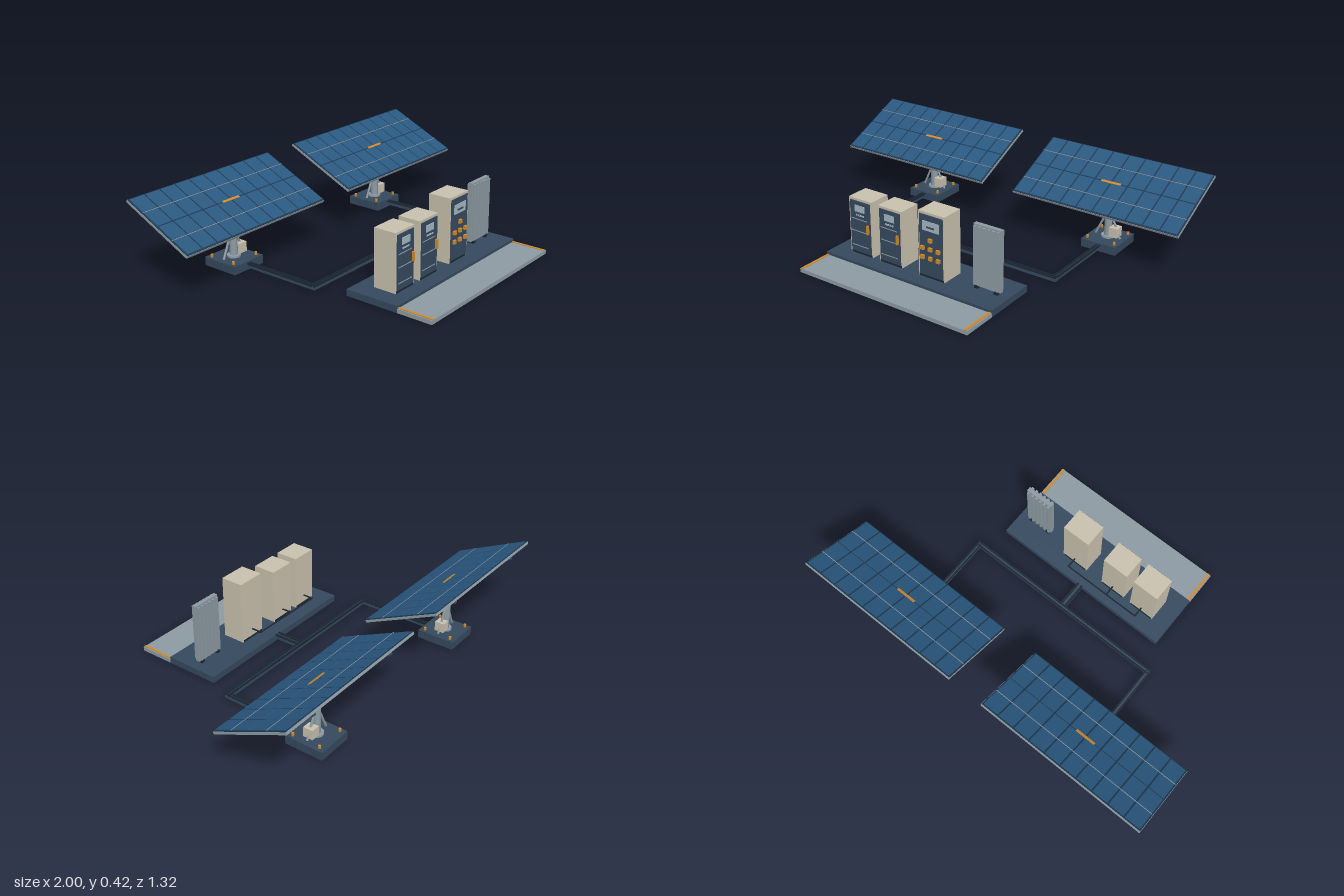
import * as THREE from 'three';

const mat = (name, color) => Object.assign(new THREE.MeshStandardMaterial({ color }), { name });

export function createModel() {
  const navy = mat('navy paint', 0x35495e);
  const dark = mat('dark rubber', 0x1b2733);
  const cream = mat('cream cabinet', 0xc9c1ae);
  const metal = mat('galvanised metal', 0x8d9aa3);
  const blue = mat('solar blue', 0x2a5880);
  const backing = mat('panel grid', 0x1d3850);
  const orange = mat('orange accent', 0xcf8a2e);
  const glass = mat('display glass', 0xa3b7c2);

  const model = new THREE.Group();
  model.name = 'solarPowerStation';

  const add = (parent, name, geo, material, x, y, z) => {
    const m = new THREE.Mesh(geo, material);
    m.name = name;
    m.position.set(x, y, z);
    parent.add(m);
    return m;
  };
  // box centred on x, y, z
  const box = (parent, name, material, w, h, d, x, y, z) =>
    add(parent, name, new THREE.BoxGeometry(w, h, d), material, x, y, z);
  const cyl = (parent, name, material, r, h, x, y, z, sides = 12) =>
    add(parent, name, new THREE.CylinderGeometry(r, r, h, sides), material, x, y, z);
  // round bar between two points
  const bar = (parent, name, material, r, a, b) => {
    const p = new THREE.Vector3(...a), q = new THREE.Vector3(...b);
    const mid = p.clone().add(q).multiplyScalar(0.5);
    const m = cyl(parent, name, material, r, p.distanceTo(q), mid.x, mid.y, mid.z, 8);
    m.quaternion.setFromUnitVectors(new THREE.Vector3(0, 1, 0), q.sub(p).normalize());
    return m;
  };
  const group = (parent, name, x = 0, y = 0, z = 0) => {
    const g = new THREE.Group();
    g.name = name;
    g.position.set(x, y, z);
    parent.add(g);
    return g;
  };

  // equipment platform and front apron
  const platform = group(model, 'platform');
  box(platform, 'platformSlab', navy, 0.98, 0.034, 0.285, 0, 0.017, 0.3375);
  box(platform, 'apron', metal, 0.98, 0.02, 0.185, 0, 0.01, 0.5725);
  for (const s of [-1, 1])
    box(platform, 'apronStripe', orange, 0.012, 0.004, 0.185, s * 0.478, 0.0215, 0.5725);

  // cabinet body with a dark door, origin at the centre of its footprint
  const makeCabinet = (name, x, w, h) => {
    const g = group(model, name, x, 0.034, 0.34);
    box(g, 'cabinetBody', cream, w, h, 0.12, 0, h / 2, 0);
    box(g, 'cabinetPlinth', dark, w * 0.92, 0.01, 0.125, 0, 0.005, 0);
    box(g, 'door', navy, w - 0.018, h - 0.024, 0.006, 0, h / 2, 0.062);
    return g;
  };
  for (const x of [-0.328, -0.146]) {
    const g = makeCabinet('inverterCabinet', x, 0.14, 0.291);
    box(g, 'display', glass, 0.06, 0.034, 0.004, 0, 0.242, 0.066);
    for (let i = 0; i < 4; i++)
      box(g, 'indicator', glass, 0.009, 0.008, 0.004, -0.02 + i * 0.0133, 0.208, 0.066);
    for (const y of [0.045, 0.122, 0.186])
      box(g, 'doorSeam', metal, 0.1, 0.004, 0.003, -0.005, y, 0.0655);
    box(g, 'handle', orange, 0.009, 0.046, 0.014, 0.05, 0.146, 0.07);
  }

  // control cabinet with push buttons
  const control = makeCabinet('controlCabinet', 0.098, 0.15, 0.331);
  box(control, 'display', glass, 0.094, 0.048, 0.004, 0, 0.266, 0.066);
  box(control, 'displayReadout', navy, 0.045, 0.008, 0.003, 0, 0.262, 0.069);
  const buttons = [[0, 0.198]];
  for (const y of [0.153, 0.106]) for (const x of [-0.045, 0, 0.045]) buttons.push([x, y]);
  for (const [x, y] of buttons)
    box(control, 'button', orange, 0.019, 0.019, 0.013, x, y, 0.07);

  // finned radiator
  const radiator = group(model, 'radiator', 0.37, 0.034, 0.337);
  box(radiator, 'radiatorCore', metal, 0.15, 0.31, 0.022, 0, 0.165, 0);
  for (let i = 0; i < 6; i++)
    box(radiator, 'fin', metal, 0.012, 0.295, 0.044, -0.0625 + i * 0.025, 0.165, 0);
  for (const s of [-1, 1]) box(radiator, 'radiatorFoot', dark, 0.02, 0.012, 0.04, s * 0.055, 0.006, 0);

  // cables behind the cabinets
  const cables = group(model, 'cables');
  bar(cables, 'cableBus', dark, 0.004, [-0.332, 0.08, 0.225], [0.102, 0.08, 0.225]);
  for (const x of [-0.328, -0.146, 0.098])
    bar(cables, 'cableBranch', dark, 0.004, [x, 0.08, 0.225], [x, 0.08, 0.285]);

  // cable trays on the ground: navy bed with dark rims
  const trays = group(model, 'cableTrays');
  const tray = (x, z, length, width, turn) => {
    const g = group(trays, 'cableTray', x, 0, z);
    g.rotation.y = turn;
    box(g, 'trayBed', navy, width, 0.016, length, 0, 0.021, 0);
    for (const s of [-1, 1])
      box(g, 'trayRim', dark, width * 0.3, 0.01, length, s * width * 0.35, 0.031, 0);
  };
  for (const s of [-1, 1]) tray(s * 0.548, -0.16, 0.42, 0.022, 0);
  tray(0, 0.05, 1.118, 0.024, Math.PI / 2);
  tray(0, 0.13, 0.14, 0.034, 0);

  // solar trackers
  const W = 0.905, L = 0.42, cols = 10, rows = 4;
  for (const side of [-1, 1]) {
    const t = group(model, side < 0 ? 'rightTracker' : 'leftTracker', side * 0.5475, 0, -0.4625);
    box(t, 'trackerBase', navy, 0.19, 0.043, 0.2, 0, 0.0215, 0);
    cyl(t, 'post', metal, 0.02, 0.255, 0, 0.165, 0, 16);
    cyl(t, 'postFlange', metal, 0.034, 0.01, 0, 0.048, 0, 16);
    for (const sx of [-1, 1]) {
      bar(t, 'brace', metal, 0.006, [sx * 0.068, 0.045, 0], [sx * 0.012, 0.17, 0]);
      for (const sz of [-1, 1])
        cyl(t, 'anchorBolt', orange, 0.007, 0.016, sx * 0.075, 0.05, sz * 0.073, 8);
    }
    box(t, 'junctionBox', cream, 0.046, 0.05, 0.05, 0.04, 0.08, 0);

    // tilted array, local y is the panel normal
    const a = group(t, 'solarArray', 0, 0.325, -0.003);
    a.rotation.x = THREE.MathUtils.degToRad(24.8);
    box(a, 'panelFrame', metal, W, 0.012, L, 0, -0.002, 0);
    box(a, 'panelGrid', backing, W - 0.004, 0.003, L - 0.004, 0, 0.0055, 0);
    const cw = (W - 0.01) / cols, cl = (L - 0.01) / rows;
    for (let i = 0; i < cols; i++)
      for (let j = 0; j < rows; j++)
        box(a, 'solarCell', blue, cw - 0.008, 0.003, cl - 0.006,
          (i - (cols - 1) / 2) * cw, 0.0085, (j - (rows - 1) / 2) * cl);
    for (const s of [-1, 1]) {
      box(a, 'busbar', metal, W - 0.01, 0.002, 0.003, 0, 0.0095, s * cl);
      box(a, 'supportRail', navy, 0.02, 0.014, L - 0.02, s * 0.273, -0.015, 0);
    }
    // tilt axle and drive
    box(a, 'axle', orange, 0.106, 0.046, 0.013, 0, -0.011, 0);
    box(a, 'tiltDrive', navy, 0.05, 0.03, 0.045, 0.036, -0.023, 0);
    box(a, 'postHead', dark, 0.044, 0.022, 0.05, 0, -0.019, 0);
  }
  return model;
}
